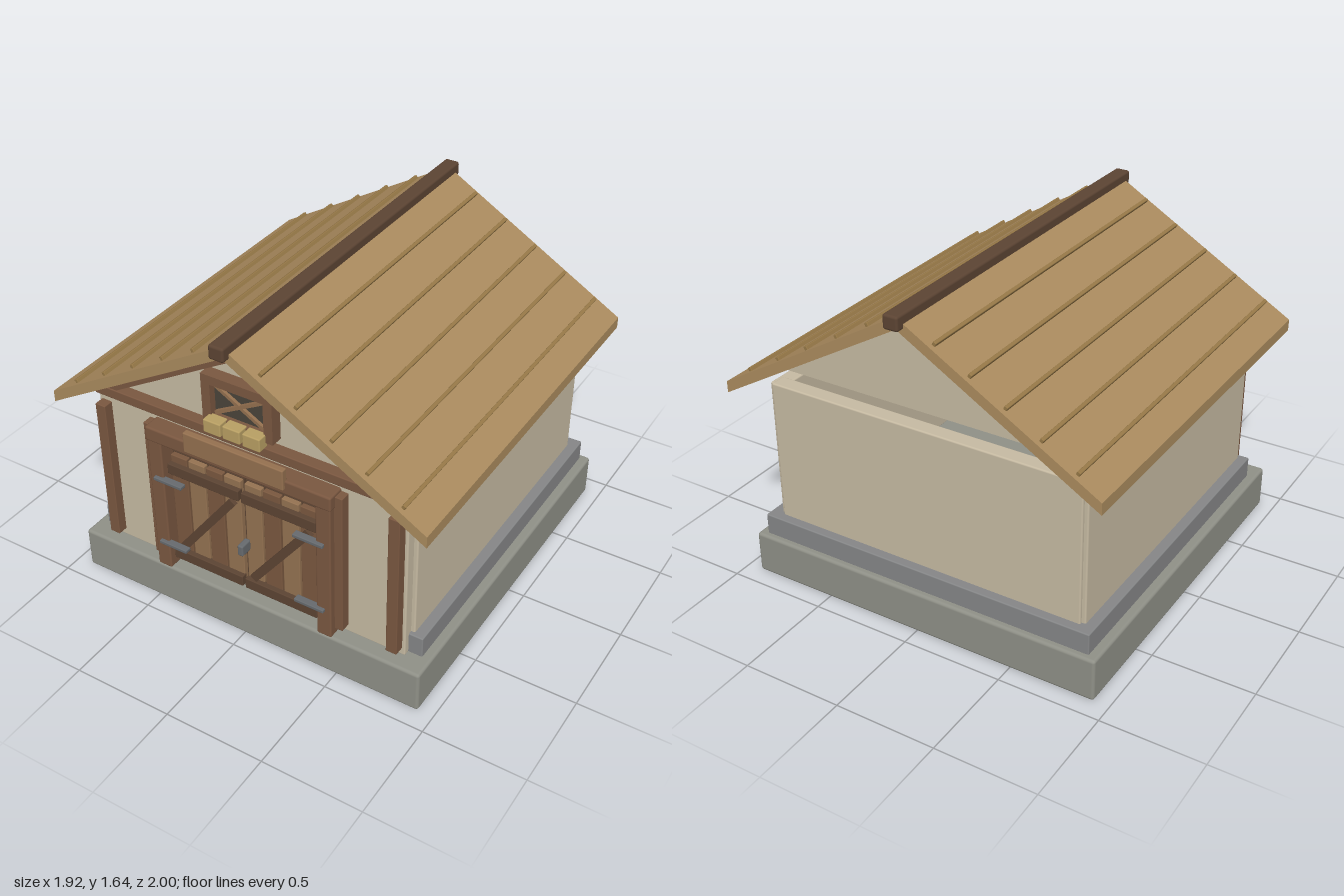
import * as THREE from 'three';
import { RoundedBoxGeometry } from 'three/addons/geometries/RoundedBoxGeometry.js';

const mat = (color) => new THREE.MeshStandardMaterial({ color });
const M = {
  base: mat(0x8f9087), plinth: mat(0x858687), wall: mat(0xc6baa2), roof: mat(0xaa8b5e),
  batten: mat(0x967847), timber: mat(0x7a5740), dark: mat(0x5c4433), plankA: mat(0x7a583f),
  plankB: mat(0x947251), sign: mat(0x94704f), metal: mat(0x666a6e), bale: mat(0xb89f63),
  loft: mat(0x4a443a),
};

export function createModel() {
  const root = new THREE.Group();

  const add = (name, geometry, material, parent = root) => {
    const mesh = new THREE.Mesh(geometry, material);
    mesh.name = name;
    parent.add(mesh);
    return mesh;
  };
  // Box given by its limits on each axis, with optional rounded edges
  const box = (name, material, x0, x1, y0, y1, z0, z1, r = 0, parent = root) => {
    const s = [x1 - x0, y1 - y0, z1 - z0];
    const g = r ? new RoundedBoxGeometry(...s, 2, r) : new THREE.BoxGeometry(...s);
    const mesh = add(name, g, material, parent);
    mesh.position.set((x0 + x1) / 2, (y0 + y1) / 2, (z0 + z1) / 2);
    return mesh;
  };
  // The same box on both sides of x = 0
  const pair = (name, material, x0, x1, ...rest) => {
    box(name + 'Left', material, x0, x1, ...rest);
    box(name + 'Right', material, -x1, -x0, ...rest);
  };
  // Flat outline in x and y, extruded from z0 to z1
  const slab = (name, material, points, z0, z1, hole) => {
    const shape = new THREE.Shape(points.map((p) => new THREE.Vector2(...p)));
    if (hole) shape.holes.push(new THREE.Path(hole.map((p) => new THREE.Vector2(...p))));
    const g = new THREE.ExtrudeGeometry(shape, { depth: z1 - z0, bevelEnabled: false });
    return add(name, g.translate(0, 0, z0), material);
  };
  // Straight bar between two points in x and y
  const bar = (name, material, [ax, ay], [bx, by], width, z0, z1, parent = root) => {
    const g = new THREE.BoxGeometry(Math.hypot(bx - ax, by - ay), width, z1 - z0);
    const mesh = add(name, g, material, parent);
    mesh.position.set((ax + bx) / 2, (ay + by) / 2, (z0 + z1) / 2);
    mesh.rotation.z = Math.atan2(by - ay, bx - ax);
    return mesh;
  };

  // Foundation and stone plinth, open at the front
  box('foundation', M.base, -0.925, 0.925, 0, 0.215, -0.91, 0.91, 0.015);
  pair('sidePlinth', M.plinth, 0.8, 0.88, 0.21, 0.32, -0.88, 0.8, 0.006);
  box('backPlinth', M.plinth, -0.88, 0.88, 0.21, 0.32, -0.88, -0.8, 0.006);

  // Walls around a doorway
  pair('sideWall', M.wall, 0.75, 0.83, 0.21, 1.025, -0.82, 0.78, 0.008);
  box('backWall', M.wall, -0.81, 0.81, 0.21, 1.03, -0.835, -0.755, 0.008);
  pair('frontWall', M.wall, 0.42, 0.81, 0.21, 1.03, 0.75, 0.83, 0.008);
  box('frontWallLintel', M.wall, -0.45, 0.45, 0.93, 1.055, 0.75, 0.83, 0.006);

  // Gables with rake boards and a front tie beam
  const slope = 0.585;
  const gable = [[-0.79, 1.06], [0.79, 1.06], [0, 1.53]];
  slab('frontGable', M.wall, gable, 0.76, 0.82);
  slab('backGable', M.wall, gable, -0.74, -0.68);
  for (const s of [-1, 1]) {
    const rake = [[0, 1.555], [s * 0.79, 1.095], [s * 0.79, 1.06], [s * 0.72, 1.08], [0, 1.5]];
    slab('frontRakeBoard', M.timber, rake, 0.81, 0.87);
    bar('backRakeBoard', M.timber, [s * 0.78, 1.085], [0, 1.542], 0.025, -0.745, -0.72);
  }
  box('tieBeam', M.timber, -0.79, 0.79, 1.06, 1.11, 0.81, 0.875, 0.005);

  // Roof slopes with plumb-cut eaves, and battens along them
  const eave = 0.962, ridgeY = 1.618, thick = 0.057;
  for (const s of [-1, 1]) {
    const top = (x) => ridgeY - slope * x;
    slab('roofSlope', M.roof, [
      [0, ridgeY], [s * eave, top(eave)], [s * eave, top(eave) - thick], [0, ridgeY - thick],
    ], -0.96, 0.96);
    for (const x of [0.167, 0.335, 0.503, 0.67, 0.838]) {
      const batten = box('roofBatten', M.batten, -0.009, 0.009, -0.01, 0.016, -0.935, 0.935, 0.004);
      batten.position.set(s * x, top(x) + 0.006, 0);
      batten.rotation.z = -s * Math.atan(slope);
    }
  }
  box('ridgeCap', M.dark, -0.038, 0.038, 1.57, 1.64, -1, 1, 0.012);

  // Loft window: frame, dark panel, cross brace and hay bales on the sill
  const rect = (x, y0, y1) => [[-x, y0], [x, y0], [x, y1], [-x, y1]];
  slab('windowFrame', M.timber, rect(0.18, 1.145, 1.385), 0.81, 0.88, rect(0.135, 1.18, 1.34));
  box('windowPanel', M.loft, -0.14, 0.14, 1.17, 1.345, 0.81, 0.845);
  for (const s of [-1, 1]) {
    bar('windowBrace', M.sign, [s * -0.125, 1.19], [s * 0.125, 1.33], 0.016, 0.84, 0.862 + s * 0.002);
  }
  for (const x of [-0.103, -0.003, 0.099]) {
    box('hayBale', M.bale, x - 0.045, x + 0.045, 1.12, 1.187, 0.865, 0.925, 0.006);
  }

  // Vertical trim and door frame
  pair('cornerTrim', M.timber, 0.74, 0.795, 0.25, 1, 0.82, 0.88, 0.004);
  pair('doorTrim', M.timber, 0.46, 0.52, 0.25, 1, 0.82, 0.88, 0.004);
  pair('doorPost', M.timber, 0.405, 0.48, 0.215, 1, 0.82, 0.912, 0.008);
  box('doorHeader', M.timber, -0.485, 0.485, 0.94, 1.015, 0.82, 0.917, 0.01);
  box('doorHeaderEdge', M.dark, -0.405, 0.405, 0.93, 0.945, 0.82, 0.9);
  box('signBoard', M.sign, -0.26, 0.26, 0.97, 1.075, 0.9, 0.932, 0.006);

  // Double doors: planks, rails, diagonal brace and strap hinges
  for (const s of [-1, 1]) {
    const door = new THREE.Group();
    door.name = s > 0 ? 'doorLeft' : 'doorRight';
    door.position.x = s * 0.2;
    root.add(door);
    box('doorBacking', M.dark, -0.195, 0.195, 0.275, 0.87, 0.825, 0.843, 0, door);
    for (let i = 0; i < 4; i++) {
      const x = -0.1455 + i * 0.097;
      const m = (i + (s > 0 ? 1 : 0)) % 2 ? M.plankB : M.plankA;
      box('doorPlank', m, x - 0.044, x + 0.044, 0.278, 0.865, 0.83, 0.868, 0.004, door);
    }
    for (const y of [0.275, 0.772]) {
      box('doorRail', M.dark, -0.193, 0.193, y, y + 0.056, 0.86, 0.893, 0.004, door);
    }
    bar('doorBrace', M.dark, [-0.15, 0.345], [0.155, 0.75], 0.04, 0.86, 0.889, door);
    for (const y of [0.37, 0.743]) {
      const hinge = box('strapHinge', M.metal, -0.077, 0.077, -0.009, 0.009, 0, 0.035, 0.004, door);
      hinge.position.set(s * 0.173, y, 0.912);
    }
  }
  box('doorHandle', M.metal, 0, 0.03, 0.495, 0.553, 0.865, 0.93, 0.008);

  return root;
}
